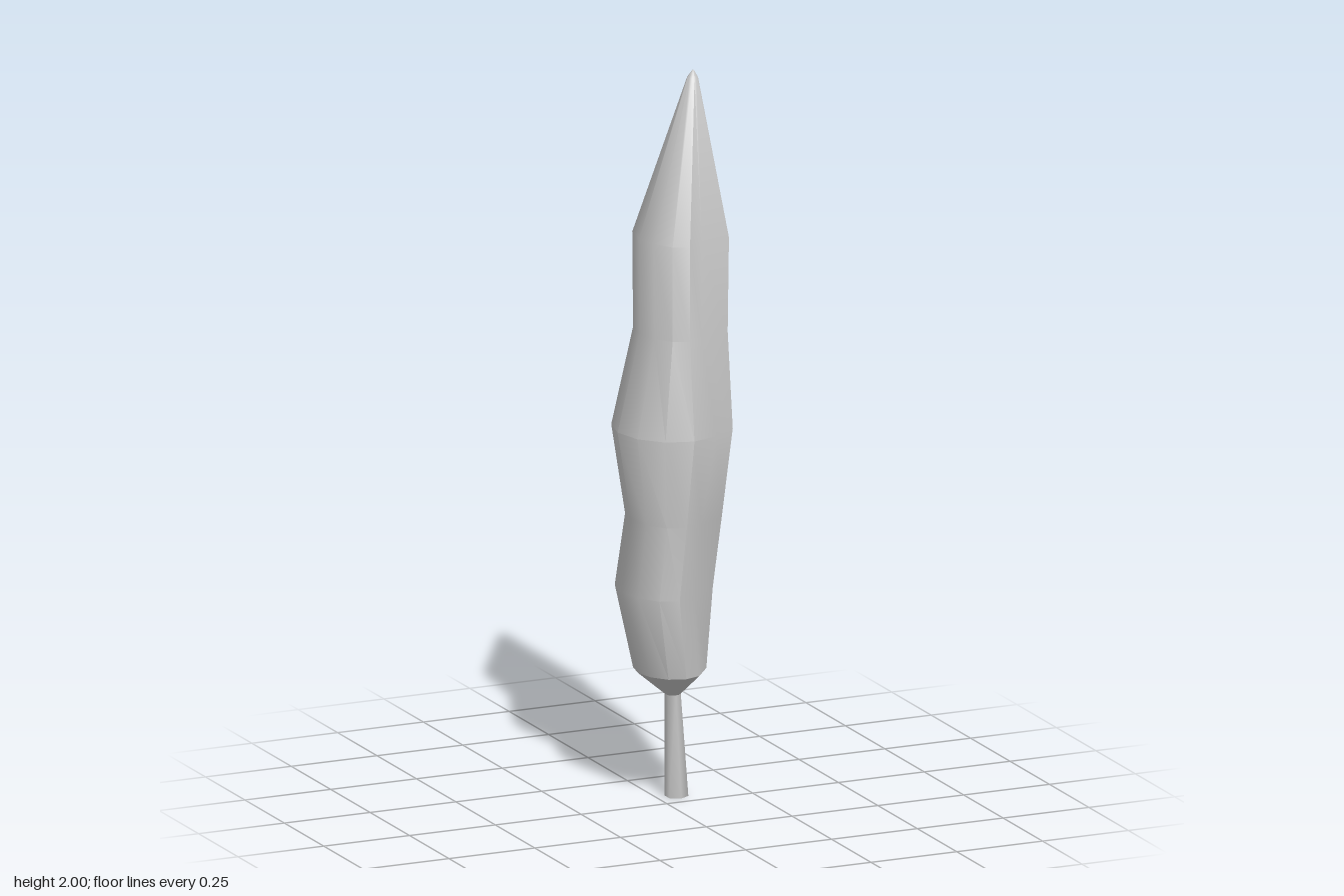
import * as THREE from 'three';
import { toCreasedNormals } from 'three/addons/utils/BufferGeometryUtils.js';

const material = new THREE.MeshStandardMaterial({ color: 0xcccccc });

// Foliage cross-section: a rounded arc from corner a to corner b; the side from b back to a is flat.
function section({ y, cx, left, front, back, a, b }) {
  const cz = (front + back) / 2, rz = (front - back) / 2, rx = cx - left;
  const points = [[a[0], a[1]]];
  for (let deg = 60; deg <= 270; deg += 30) {
    const t = THREE.MathUtils.degToRad(deg);
    points.push([cx + rx * Math.cos(t), cz + rz * Math.sin(t)]);
  }
  points.push([b[0], b[1]]);
  return points.map(([x, z]) => [x, y, z]);
}

// Small round section, used where the foliage narrows to a point or meets the trunk.
const dot = (y, x, z, r) => section({
  y, cx: x, left: x - r, front: z + r, back: z - r,
  a: [x + r, z + r * 0.4], b: [x + r * 0.6, z - r * 0.8],
});

// Skin consecutive sections with quads.
function loft(rings) {
  const n = rings[0].length, index = [];
  for (let r = 0; r < rings.length - 1; r++) {
    for (let i = 0; i < n; i++) {
      const j = (i + 1) % n;
      const p = r * n + i, q = r * n + j;
      index.push(p, p + n, q + n, p, q + n, q);
    }
  }
  const geometry = new THREE.BufferGeometry();
  geometry.setAttribute('position', new THREE.Float32BufferAttribute(rings.flat(2), 3));
  geometry.setIndex(index);
  return toCreasedNormals(geometry, 0.62);
}

export function createModel() {
  const tree = new THREE.Group();
  tree.name = 'cypressTree';

  // Foliage, from the trunk up to the leaning tip
  const foliage = new THREE.Mesh(loft([
    dot(0.29, 0.033, -0.035, 0.02),
    section({ y: 0.36, cx: 0.02, left: -0.07, front: 0.08, back: -0.145, a: [0.115, 0.0], b: [0.1, -0.125] }),
    section({ y: 0.59, cx: -0.02, left: -0.12, front: 0.125, back: -0.173, a: [0.12, 0.03], b: [0.103, -0.14] }),
    section({ y: 0.79, cx: 0, left: -0.1, front: 0.127, back: -0.145, a: [0.13, 0.065], b: [0.105, -0.14] }),
    section({ y: 1.04, cx: 0, left: -0.148, front: 0.175, back: -0.157, a: [0.146, 0.1], b: [0.106, -0.143] }),
    section({ y: 1.3, cx: 0.01, left: -0.075, front: 0.125, back: -0.143, a: [0.145, 0.07], b: [0.106, -0.14] }),
    section({ y: 1.56, cx: 0.01, left: -0.075, front: 0.125, back: -0.15, a: [0.145, 0.078], b: [0.106, -0.143] }),
    dot(1.98, 0.088, -0.03, 0.014),
    dot(2.0, 0.09, -0.03, 0.002),
  ]), material);
  foliage.name = 'foliage';
  tree.add(foliage);

  // Trunk: tapered hexagonal post, sheared so it leans
  const trunkGeometry = new THREE.CylinderGeometry(0.021, 0.032, 0.3, 6);
  trunkGeometry.translate(0, 0.15, 0);
  const lean = new THREE.Matrix4().set(
    1, -0.077, 0, 0.056,
    0, 1, 0, 0,
    0, 0.09, 1, -0.062,
    0, 0, 0, 1,
  );
  trunkGeometry.applyMatrix4(lean);
  const trunk = new THREE.Mesh(toCreasedNormals(trunkGeometry, 1.1), material);
  trunk.name = 'trunk';
  tree.add(trunk);

  return tree;
}
